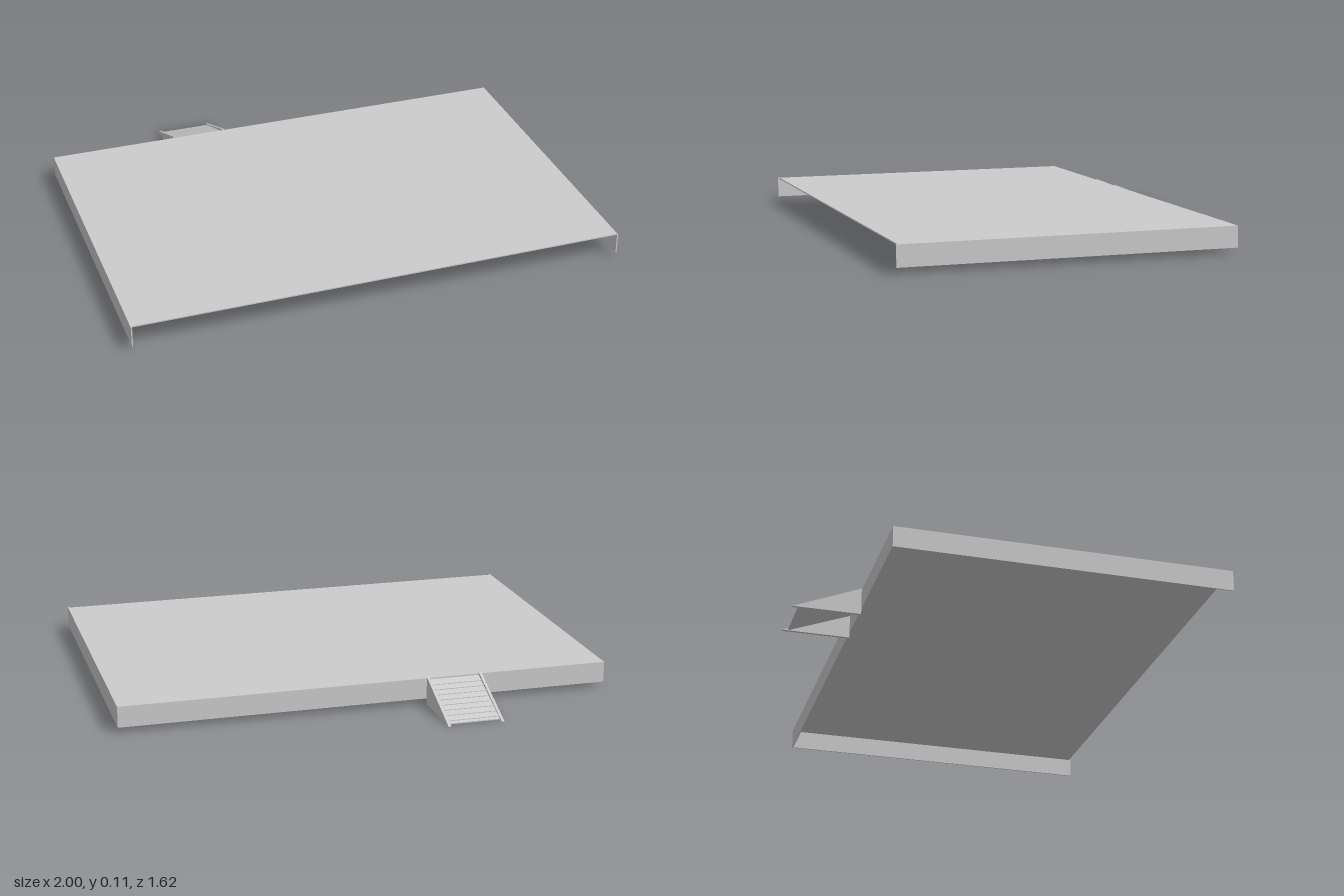
import * as THREE from 'three';

const TOP = 0.107, BOTTOM = 0.022, BACK = -0.537, FRONT = 0.81, T = 0.005;

export function createModel() {
  const group = new THREE.Group();
  const material = new THREE.MeshStandardMaterial({ color: 0xcccccc, flatShading: true, side: THREE.DoubleSide });

  const add = (name, geometry, parent = group) => {
    const mesh = new THREE.Mesh(geometry, material);
    mesh.name = name;
    parent.add(mesh);
    return mesh;
  };
  // Box given by its lower and upper corners
  const box = (name, a, b) => {
    const mesh = add(name, new THREE.BoxGeometry(b[0] - a[0], b[1] - a[1], b[2] - a[2]));
    mesh.position.set((a[0] + b[0]) / 2, (a[1] + b[1]) / 2, (a[2] + b[2]) / 2);
  };

  // Thin deck with a skirt on three sides; the front and underside stay open
  box('deck', [-1 + T, TOP - T, BACK + T], [1 - T, TOP, 0.803]);
  box('backSkirt', [-1 + T, BOTTOM, BACK], [1 - T, TOP, BACK + T]);
  box('leftSkirt', [1 - T, BOTTOM, BACK], [1, TOP, FRONT]);
  box('rightSkirt', [-1, BOTTOM, BACK], [-1 + T, TOP, FRONT]);

  // Ramp profile extruded along x; profile points are (z, y)
  const ramp = new THREE.Group();
  ramp.name = 'ramp';
  group.add(ramp);
  const extrudeX = (name, points, x0, x1) => {
    const shape = new THREE.Shape(points.map(([z, y]) => new THREE.Vector2(-z, y)));
    const geometry = new THREE.ExtrudeGeometry(shape, { depth: x1 - x0, bevelEnabled: false });
    geometry.rotateY(Math.PI / 2).translate(x0, 0, 0);
    return add(name, geometry, ramp);
  };

  // Triangular side walls
  const wall = [[BACK, 0], [-0.81, 0], [BACK, 0.112]];
  extrudeX('rampRightWall', wall, -0.469, -0.458);
  extrudeX('rampLeftWall', wall, -0.251, -0.24);

  // Sloping panel, open underneath
  const slopeY = z => 0.097 * (z + 0.787) / (BACK + 0.787) + 0.004;
  const panel = [[BACK, slopeY(BACK)], [-0.787, 0.004], [-0.787, 0], [BACK, slopeY(BACK) - 0.004]];
  extrudeX('rampPanel', panel, -0.458, -0.251);

  // Low cleats across the panel
  for (let i = 0; i < 8; i++) {
    const z = -0.775 + i * 0.029, z1 = z + 0.008;
    extrudeX('rampCleat', [[z, slopeY(z)], [z, slopeY(z) + 0.003], [z1, slopeY(z1) + 0.003], [z1, slopeY(z1)]], -0.458, -0.251);
  }
  return group;
}
